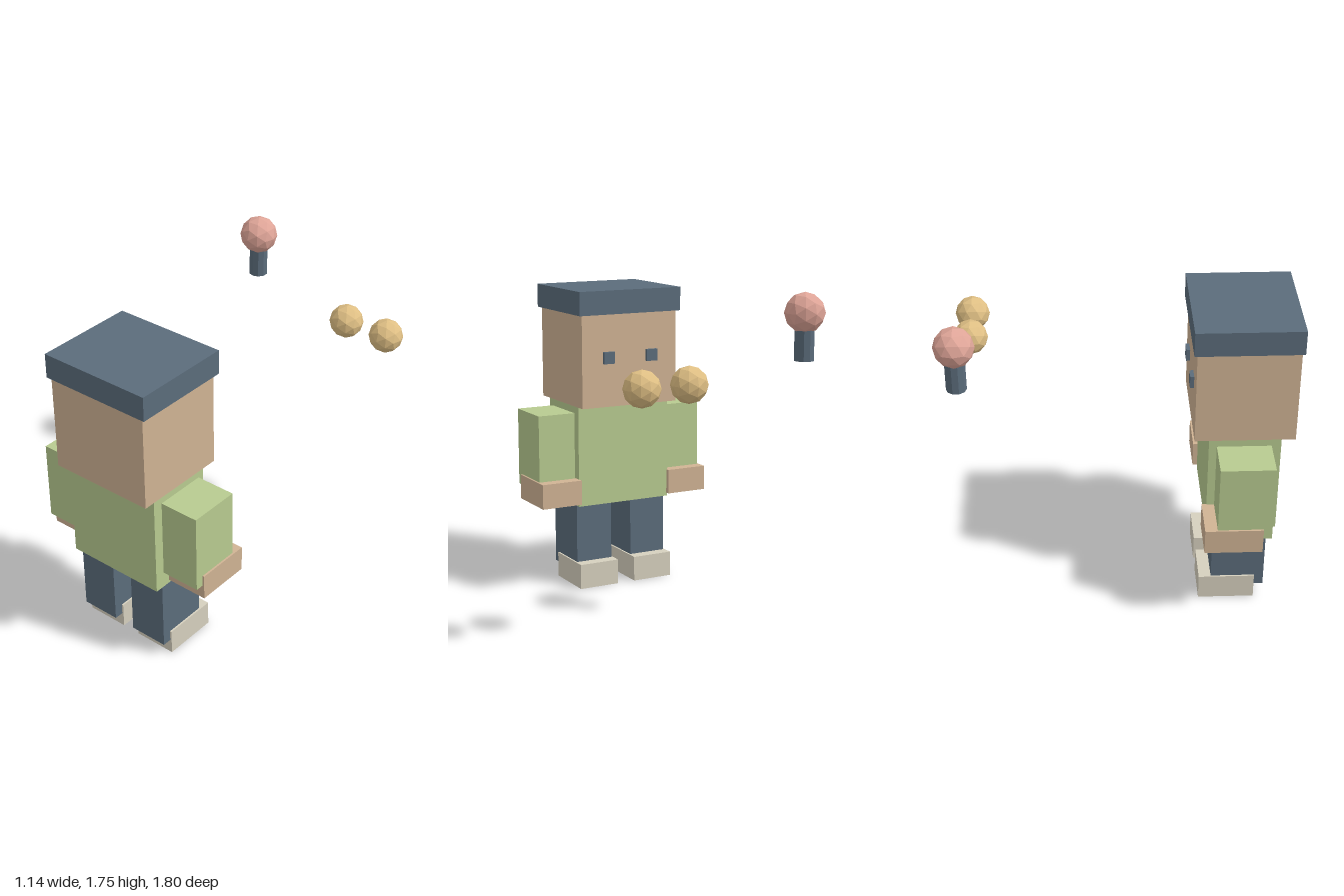
import * as THREE from 'three';

const paint = (color) => new THREE.MeshStandardMaterial({ color, flatShading: true });

export function createModel() {
  const model = new THREE.Group();
  const slate = paint(0x5b6c7b), skin = paint(0xd0b394), green = paint(0xb8cb90);
  const cream = paint(0xd6d0be), pink = paint(0xdfa598), gold = paint(0xdfbf84);

  function add(parent, name, geometry, material, x, y, z) {
    const mesh = new THREE.Mesh(geometry, material);
    mesh.name = name;
    mesh.position.set(x, y, z);
    parent.add(mesh);
    return mesh;
  }
  // Box given by its centre x, width, and y and z ranges
  function box(parent, name, material, x, w, y0, y1, z0, z1) {
    return add(parent, name, new THREE.BoxGeometry(w, y1 - y0, z1 - z0), material,
      x, (y0 + y1) / 2, (z0 + z1) / 2);
  }

  // Blocky figure, its face towards -z
  const figure = new THREE.Group();
  figure.name = 'figure';
  figure.position.x = -0.06;
  model.add(figure);

  box(figure, 'torso', green, 0, 0.56, 0.47, 1.035, 0.505, 0.875);
  box(figure, 'head', skin, 0, 0.58, 1.035, 1.545, 0.43, 0.945);
  box(figure, 'hair', slate, 0, 0.62, 1.545, 1.675, 0.413, 0.957);

  // Mirrored limbs and eyes
  for (const [side, s] of [['left', 1], ['right', -1]]) {
    box(figure, `${side}Sleeve`, green, s * 0.393, 0.216, 0.565, 0.995, 0.545, 0.825);
    box(figure, `${side}Hand`, skin, s * 0.393, 0.236, 0.487, 0.625, 0.48, 0.78);
    box(figure, `${side}Leg`, slate, s * 0.169, 0.215, 0.08, 0.475, 0.545, 0.83);
    box(figure, `${side}Shoe`, cream, s * 0.169, 0.234, 0, 0.14, 0.48, 0.78);
    box(figure, `${side}Eye`, slate, s * 0.132, 0.065, 1.275, 1.34, 0.41, 0.45);
  }

  // Floating microphone
  const microphone = new THREE.Group();
  microphone.name = 'microphone';
  microphone.position.set(-0.405, 1.645, -0.745);
  model.add(microphone);
  add(microphone, 'microphoneHead', new THREE.IcosahedronGeometry(0.102, 1), pink, 0, 0, 0);
  add(microphone, 'microphoneHandle', new THREE.CylinderGeometry(0.051, 0.051, 0.16, 10), slate, 0, -0.155, 0);

  // Pair of floating balls
  for (const x of [0.224, 0.478]) {
    add(model, 'ball', new THREE.IcosahedronGeometry(0.092, 1), gold, x, 1.335, -0.712);
  }
  return model;
}
